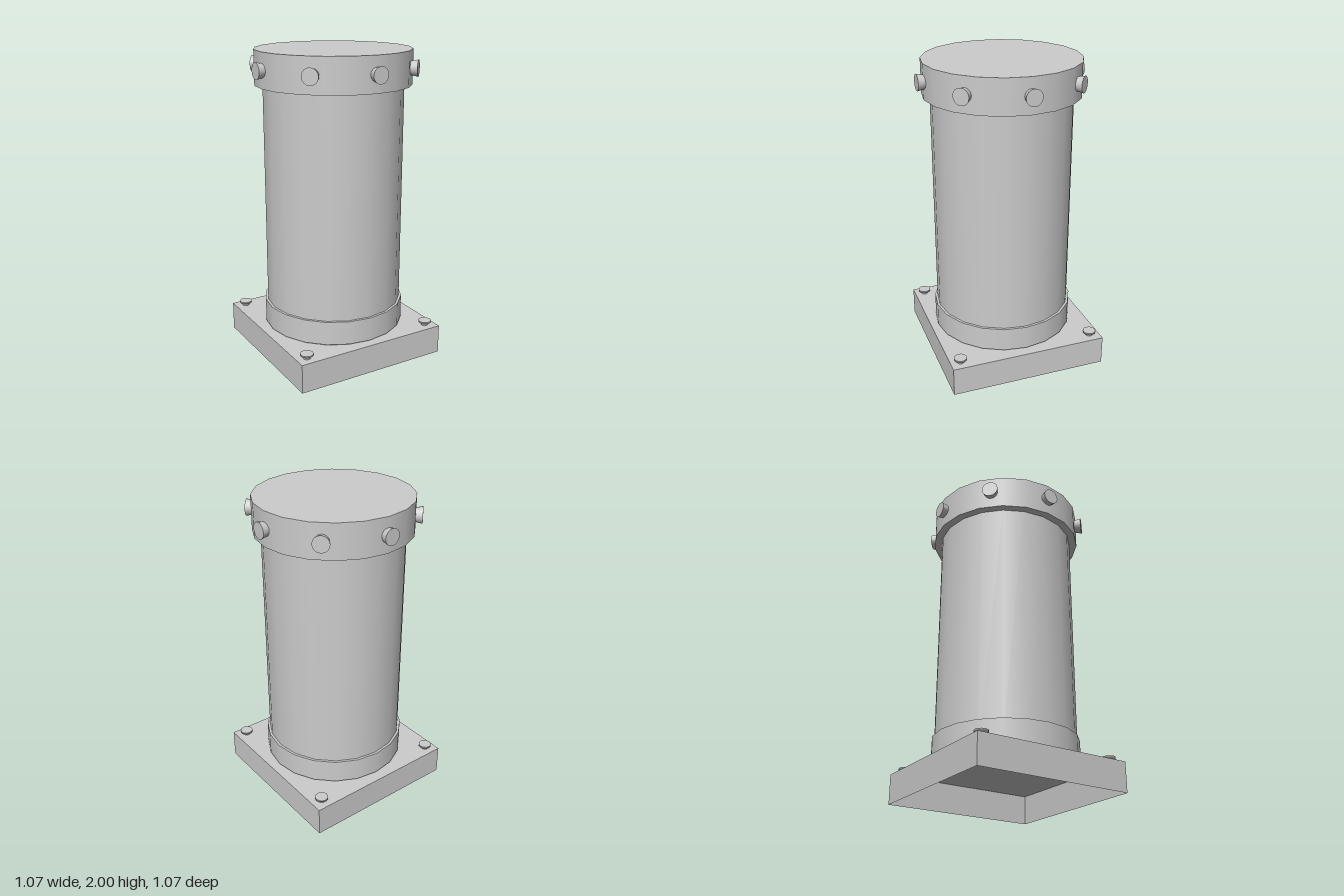
import * as THREE from 'three';

const material = new THREE.MeshStandardMaterial({ color: 0xcccccc });
const thin = new THREE.MeshStandardMaterial({ color: 0xcccccc, side: THREE.DoubleSide });
const SIDES = 20;

function add(parent, name, geometry, mat = material) {
  const mesh = new THREE.Mesh(geometry, mat);
  mesh.name = name;
  parent.add(mesh);
  return mesh;
}

// Upright cylinder between two heights
function drum(parent, name, radius, y0, y1) {
  const mesh = add(parent, name, new THREE.CylinderGeometry(radius, radius, y1 - y0, SIDES));
  mesh.position.set(0, (y0 + y1) / 2, -0.002);
  return mesh;
}

export function createModel() {
  const group = new THREE.Group();
  group.name = 'column';

  // Hollow square base, open underneath
  const W = 1.037, D = 1.032, H = 0.19, baseZ = -0.009;
  const base = new THREE.Group();
  base.name = 'base';
  base.position.z = baseZ;
  group.add(base);
  const top = add(base, 'baseTop', new THREE.PlaneGeometry(W, D), thin);
  top.rotation.x = -Math.PI / 2;
  top.position.y = H;
  for (let i = 0; i < 4; i++) {
    const a = i * Math.PI / 2;
    const wall = add(base, 'baseWall', new THREE.PlaneGeometry(i % 2 ? D : W, H), thin);
    wall.rotation.y = a;
    wall.position.set(Math.sin(a) * W / 2, H / 2, Math.cos(a) * D / 2);
  }

  // Corner bolts with flared heads
  const boltProfile = [[0.023, H], [0.023, 0.203], [0.042, 0.211], [0.042, 0.222], [0.042, 0.222], [0, 0.222]]
    .map(([r, y]) => new THREE.Vector2(r, y));
  for (const x of [-0.449, 0.449]) {
    for (const z of [-0.449, 0.449]) {
      const bolt = add(base, 'bolt', new THREE.LatheGeometry(boltProfile, 12));
      bolt.position.set(x, 0, z);
    }
  }

  // Shaft with its lower ring and upper collar
  drum(group, 'shaft', 0.445, H, 1.8);
  drum(group, 'lowerRing', 0.461, 0.2, 0.355);
  drum(group, 'collar', 0.495, 1.78, 2);

  // Pegs around the collar, widening outwards
  const pegLength = 0.09, pegEnd = 0.533;
  for (let i = 0; i < 8; i++) {
    const a = i * Math.PI / 4;
    const pivot = new THREE.Group();
    pivot.name = 'pegMount';
    pivot.rotation.y = a;
    const peg = add(pivot, 'peg', new THREE.CylinderGeometry(0.052, 0.034, pegLength, 16));
    peg.rotation.x = Math.PI / 2;
    peg.position.set(0, 1.89, pegEnd - pegLength / 2);
    group.add(pivot);
  }

  return group;
}
